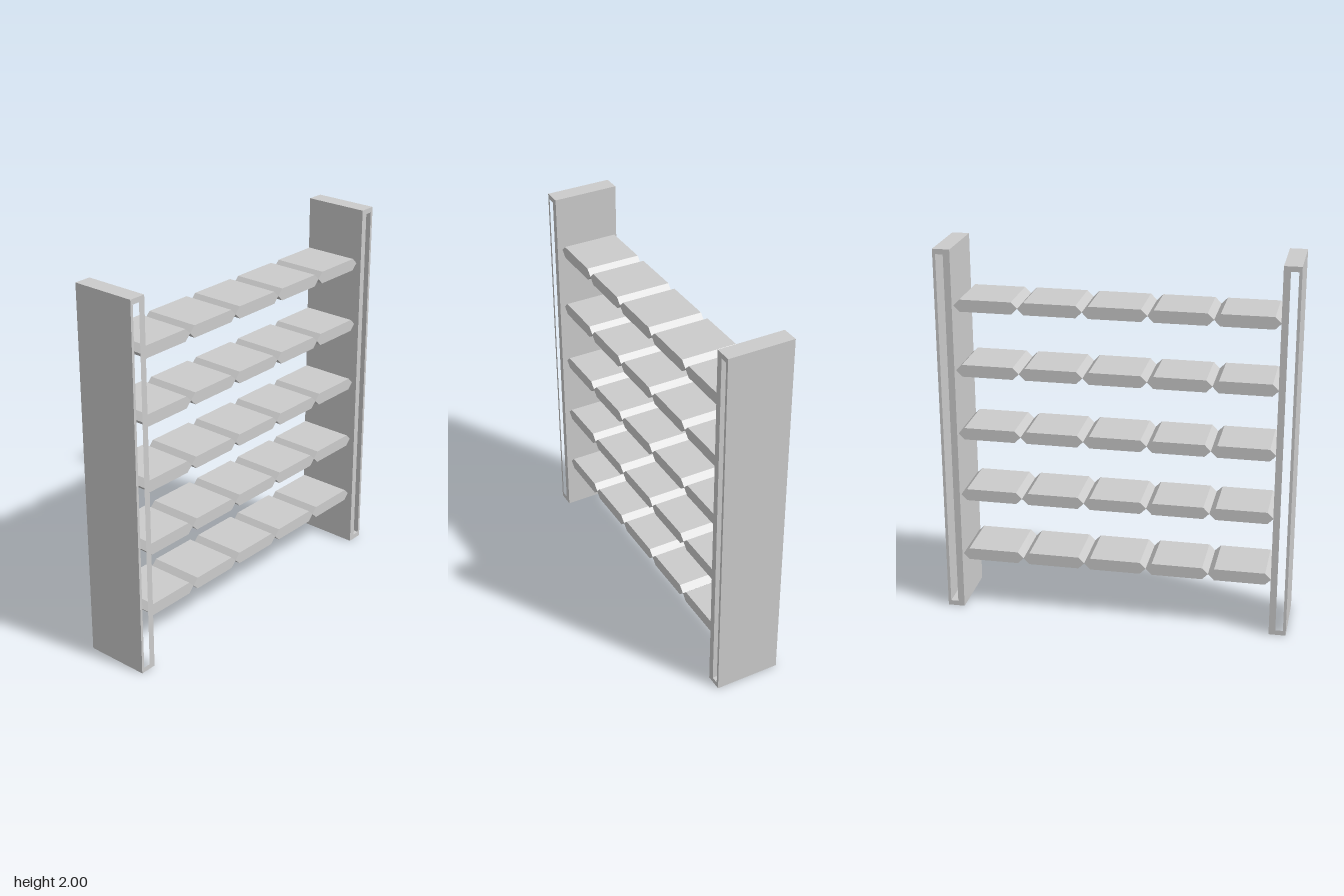
import * as THREE from 'three';

const material = new THREE.MeshStandardMaterial({ color: 0xcccccc, flatShading: true });

// Flat outline in x/y, extruded along z and centred on z = 0
function extrude(shape, depth, name) {
  const geometry = new THREE.ExtrudeGeometry(shape, { depth, bevelEnabled: false });
  geometry.translate(0, 0, -depth / 2);
  const mesh = new THREE.Mesh(geometry, material);
  mesh.name = name;
  return mesh;
}

const outline = (Type, points) => new Type(points.map(([x, y]) => new THREE.Vector2(x, y)));

// Upright frame with a tall slot running through it, set nearer the outer face
function sidePost(side, name) {
  const rect = (x0, x1, y0, y1) =>
    [[side * x0, y0], [side * x1, y0], [side * x1, y1], [side * x0, y1]];
  const shape = outline(THREE.Shape, rect(0.833, 0.923, 0, 2));
  shape.holes.push(outline(THREE.Path, rect(0.868, 0.908, 0.027, 1.973)));
  return extrude(shape, 0.35, name);
}

export function createModel() {
  const model = new THREE.Group();
  model.name = 'slattedRack';
  model.add(sidePost(1, 'leftPost'), sidePost(-1, 'rightPost'));

  // Shelf block: hexagonal outline with pointed ends
  const columns = 5, rows = 5, width = 1.666 / columns;
  const tip = width / 2, flat = tip - 0.032, half = 0.032;
  const block = outline(THREE.Shape, [
    [-tip, 0], [-flat, -half], [flat, -half], [tip, 0], [flat, half], [-flat, half],
  ]);
  const template = extrude(block, 0.294, 'shelfBlock');

  // Five shelves, each a row of blocks meeting tip to tip
  for (let r = 0; r < rows; r++) {
    const shelf = new THREE.Group();
    shelf.name = `shelf${r + 1}`;
    shelf.position.y = 0.307 + r * 0.349;
    for (let c = 0; c < columns; c++) {
      const piece = template.clone();
      piece.position.x = (c - (columns - 1) / 2) * width;
      shelf.add(piece);
    }
    model.add(shelf);
  }
  return model;
}
